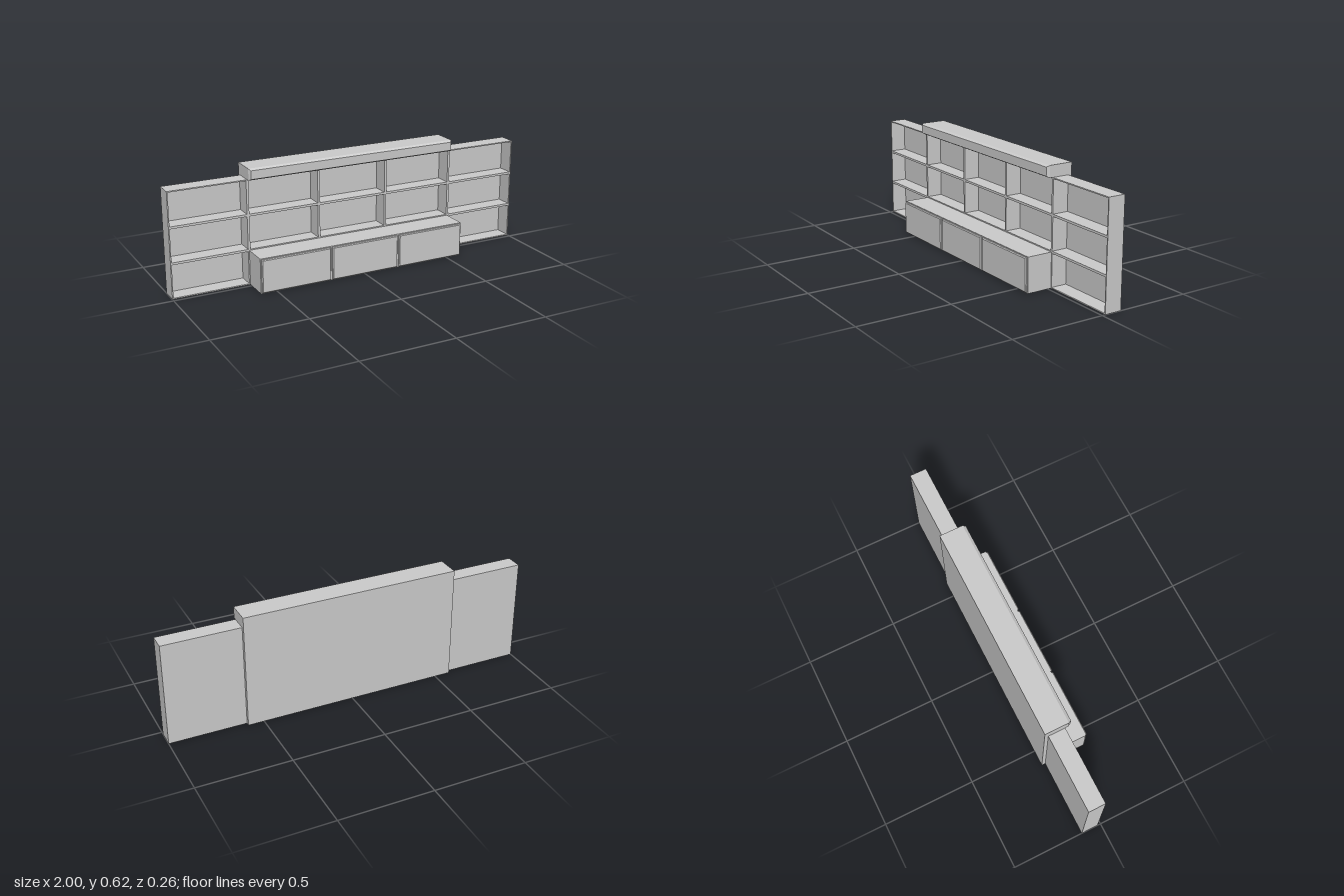
import * as THREE from 'three';

const material = new THREE.MeshStandardMaterial({ color: 0xcccccc });
const columns = [-1, -0.586, -0.195, 0.195, 0.586, 1];
const rows = [0, 0.186, 0.372, 0.558];
const halfBoard = 0.006;
const cabinetHalf = 0.586;

export function createModel() {
  const group = new THREE.Group();

  const add = (name, geometry) => {
    const mesh = new THREE.Mesh(geometry, material);
    mesh.name = name;
    group.add(mesh);
  };

  // Box given by its limits; inset narrows the front face into a bevel
  const block = (name, x0, x1, y0, y1, z0, z1, inset = 0) => {
    const w = x1 - x0, h = y1 - y0;
    let geometry = new THREE.BoxGeometry(w, h, z1 - z0);
    const p = geometry.attributes.position;
    for (let i = 0; i < p.count; i++) {
      if (p.getZ(i) > 0) {
        p.setX(i, p.getX(i) * (1 - 2 * inset / w));
        p.setY(i, p.getY(i) * (1 - 2 * inset / h));
      }
    }
    geometry = geometry.toNonIndexed();
    geometry.computeVertexNormals();
    geometry.translate((x0 + x1) / 2, (y0 + y1) / 2, (z0 + z1) / 2);
    add(name, geometry);
  };

  const rectangle = (path, x0, x1, y0, y1) => path
    .moveTo(x0, y0).lineTo(x1, y0).lineTo(x1, y1).lineTo(x0, y1).closePath();

  // Shelf grid: one board lattice with an opening per compartment
  const lattice = new THREE.Shape();
  rectangle(lattice, -1, 1, 0, rows[3]);
  for (let c = 0; c < 5; c++) {
    for (let r = 0; r < 3; r++) {
      if (r === 0 && c > 0 && c < 4) continue; // behind the cabinet
      const hole = new THREE.Path();
      rectangle(hole, columns[c] + halfBoard, columns[c + 1] - halfBoard,
        rows[r] + halfBoard, rows[r + 1] - halfBoard);
      lattice.holes.push(hole);
    }
  }
  const grid = new THREE.ExtrudeGeometry(lattice, { depth: 0.087, bevelEnabled: false });
  grid.translate(0, 0, -0.105);
  add('shelfGrid', grid);

  // Back panels
  block('shelfBack', -1, 1, 0, rows[3], -0.11, -0.105);
  block('centreBack', -cabinetHalf, cabinetHalf, 0, rows[3], -0.13, -0.11);

  // Overhanging cornice with a bevelled front
  block('cornice', -cabinetHalf, cabinetHalf, rows[3], 0.619, -0.13, 0);
  block('corniceBevel', -cabinetHalf, cabinetHalf, rows[3], 0.619, 0, 0.015, 0.008);

  // Low cabinet with three bevelled doors
  block('cabinet', -cabinetHalf, cabinetHalf, 0, rows[1], -0.018, 0.12);
  for (let c = 1; c < 4; c++) {
    const x0 = columns[c] + 0.005, x1 = columns[c + 1] - 0.005;
    block('door', x0, x1, 0.005, 0.181, 0.12, 0.126);
    block('doorBevel', x0, x1, 0.005, 0.181, 0.126, 0.131, 0.004);
  }

  return group;
}
